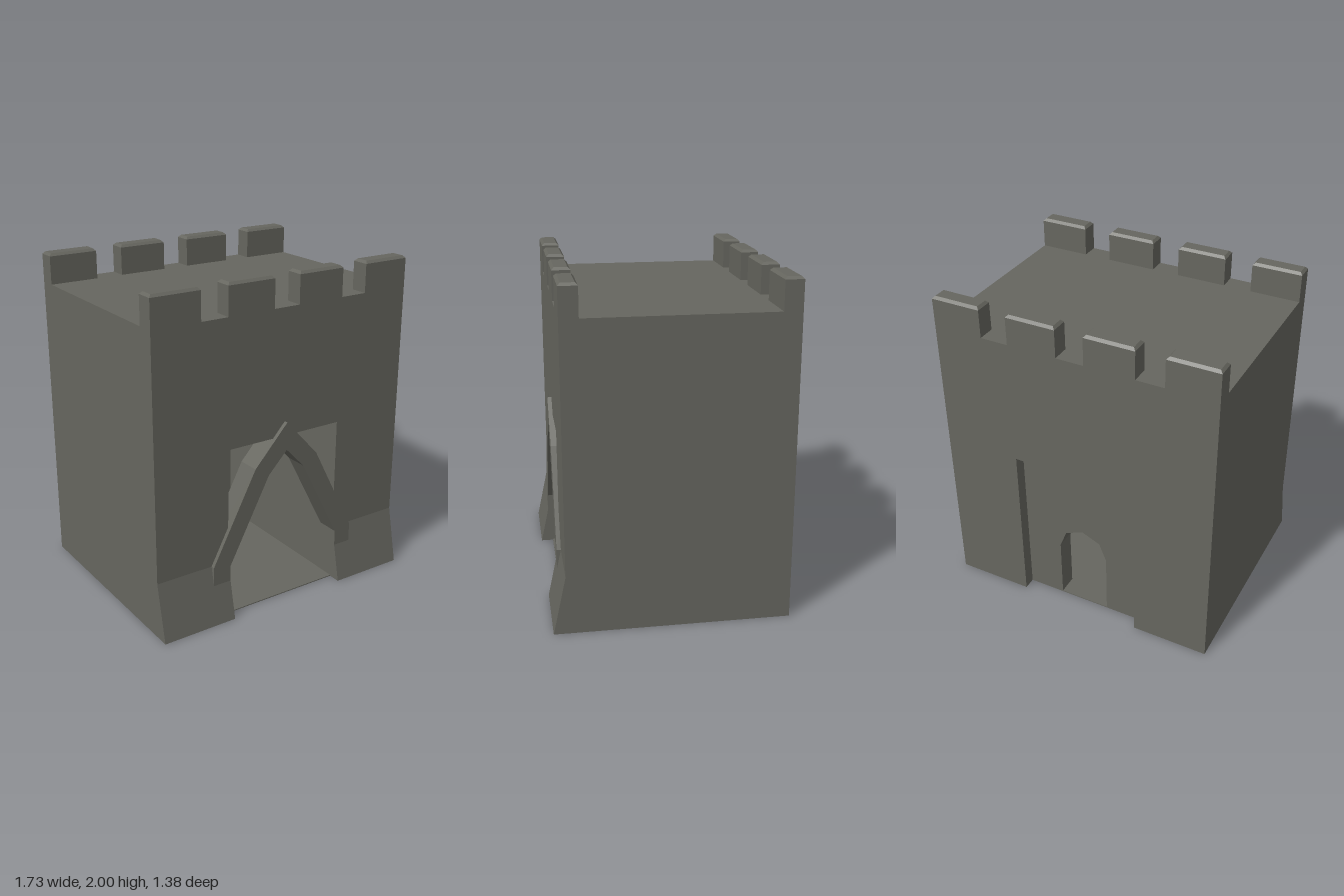
import * as THREE from 'three';

const stone = new THREE.MeshStandardMaterial({ color: 0x66665f });
stone.name = 'grey stone';

const W = 0.865, BACK = -0.685, FRONT = 0.615, ROOF = 1.815, GATE = 0.39;

function add(group, name, geometry) {
  const mesh = new THREE.Mesh(geometry, stone);
  mesh.name = name;
  group.add(mesh);
  return mesh;
}

const shapeOf = (pts) => new THREE.Shape(pts.map(([x, y]) => new THREE.Vector2(x, y)));

// Extrude an outline in x, y between two depths
function slabZ(pts, z0, z1) {
  return new THREE.ExtrudeGeometry(shapeOf(pts), { depth: z1 - z0, bevelEnabled: false }).translate(0, 0, z0);
}

// Extrude a side profile in z, y between two x positions
function slabX(pts, x0, x1) {
  const g = new THREE.ExtrudeGeometry(shapeOf(pts.map(([z, y]) => [-z, y])), { depth: x1 - x0, bevelEnabled: false });
  return g.rotateY(Math.PI / 2).translate(x0, 0, 0);
}

// Mirror half an outline, listed from the outside foot to the apex at x = 0
function mirrored(half) {
  return [...half, ...half.slice(0, -1).reverse().map(([x, y]) => [-x, y])];
}

// Closed band between an outer and an inner half outline
function band(outer, inner) {
  return [...mirrored(outer), ...mirrored(inner).reverse()];
}

// Merlon block with a chamfered top
function merlonGeometry(w, h, d, chamfer) {
  const g = new THREE.BoxGeometry(w, h, d, 1, 2, 1).toNonIndexed();
  const p = g.attributes.position;
  for (let i = 0; i < p.count; i++) {
    const y = p.getY(i);
    if (Math.abs(y) < 0.001) p.setY(i, h / 2 - chamfer);
    else if (y > 0) {
      p.setX(i, p.getX(i) - Math.sign(p.getX(i)) * chamfer);
      p.setZ(i, p.getZ(i) - Math.sign(p.getZ(i)) * chamfer);
    }
  }
  g.computeVertexNormals();
  return g.translate(0, h / 2, 0);
}

export function createModel() {
  const tower = new THREE.Group();
  tower.name = 'gatehouse';

  // Side walls with a battered foot at the front
  const wall = [[BACK, 0], [0.69, 0], [FRONT, 0.35], [FRONT, ROOF], [BACK, ROOF]];
  add(tower, 'leftWall', slabX(wall, GATE, W));
  add(tower, 'rightWall', slabX(wall, -W, -GATE));

  // Solid block over the passage, its ceiling stepping down inwards
  add(tower, 'upperBlock', slabX([
    [BACK, 1.04], [-0.61, 1.04], [-0.61, 0.99], [-0.5, 0.99],
    [0.5, 1.01], [FRONT, 1.05], [FRONT, ROOF], [BACK, ROOF],
  ], -GATE, GATE));

  // Passage floor
  add(tower, 'floor', new THREE.BoxGeometry(GATE * 2, 0.006, FRONT + 0.61)
    .translate(0, 0.003, (FRONT - 0.61) / 2));

  // Recessed back wall with a pointed doorway
  const door = [[0.16, 0], [0.16, 0.4], [0.115, 0.515], [0, 0.565]];
  add(tower, 'backWall', slabZ(band([[GATE, 0], [GATE, 1], [0, 1]], door), -0.61, -0.52));

  // Raised door surround on the inside
  const surround = [[0.225, 0], [0.225, 0.415], [0.16, 0.57], [0, 0.63]];
  add(tower, 'doorSurround', slabZ(band(surround, door), -0.52, -0.49));

  // Pointed arch across the front of the passage
  const archOuter = [[0.505, 0.23], [0.505, 0.35], [0.22, 0.9], [0, 1.14]];
  const archInner = [[0.39, 0.23], [0.39, 0.33], [0.125, 0.84], [0, 0.97]];
  add(tower, 'frontArch', slabZ(band(archOuter, archInner), 0.5, 0.64));

  // Battlements along the front and back edges
  const merlon = merlonGeometry(0.305, 2 - ROOF, 0.107, 0.015);
  for (const [name, z] of [['frontMerlon', FRONT - 0.0535], ['backMerlon', BACK + 0.0535]]) {
    for (let i = 0; i < 4; i++) {
      add(tower, name, merlon).position.set(-0.7125 + i * 0.475, ROOF, z);
    }
  }
  return tower;
}
